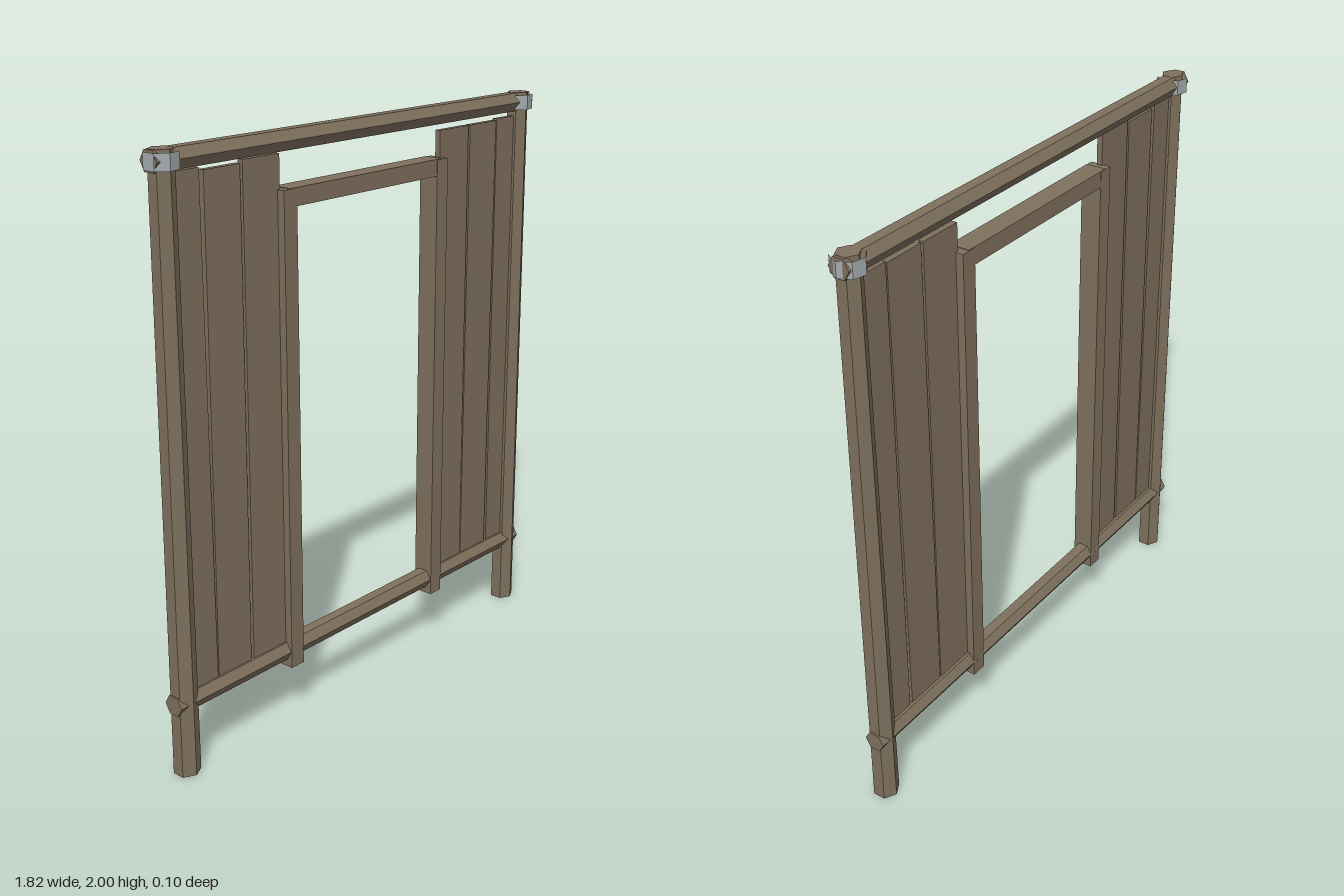
import * as THREE from 'three';

export function createModel() {
  const group = new THREE.Group();
  const wood = new THREE.MeshStandardMaterial({ color: 0x7f715d, flatShading: true });
  wood.name = 'weathered wood';
  const metal = new THREE.MeshStandardMaterial({ color: 0xa3aaad, flatShading: true });
  metal.name = 'pale binding';

  const add = (name, geometry, material, x, y, z = 0) => {
    const mesh = new THREE.Mesh(geometry, material);
    mesh.name = name;
    mesh.position.set(x, y, z);
    group.add(mesh);
    return mesh;
  };

  // Hexagonal corner posts, slightly tapered, with a binding round the top
  for (const [side, x] of [['right', -0.865], ['left', 0.855]]) {
    const post = new THREE.CylinderGeometry(0.038, 0.043, 2, 6);
    post.scale(1.07, 1, 1);
    add(side + 'Post', post, wood, x, 1);

    const band = new THREE.CylinderGeometry(0.053, 0.053, 0.052, 7, 1, true);
    band.rotateY(Math.PI / 2);
    add(side + 'Binding', band, metal, x, 1.966);
  }

  // Hexagonal cross rails with a ridge towards front and back
  const rail = (name, y, length) => {
    const g = new THREE.CylinderGeometry(0.037, 0.037, length, 6);
    g.rotateZ(Math.PI / 2);
    add(name, g, wood, -0.005, y, -0.002);
  };
  rail('topRail', 1.967, 1.81);
  rail('bottomRail', 0.253, 1.81);

  // Door frame
  const depth = 0.074;
  add('rightJamb', new THREE.BoxGeometry(0.058, 1.625, depth), wood, -0.381, 1.0075);
  add('leftJamb', new THREE.BoxGeometry(0.058, 1.625, depth), wood, 0.372, 1.0075);
  add('lintel', new THREE.BoxGeometry(0.75, 0.058, depth - 0.002), wood, -0.005, 1.793);

  // Slightly crooked wall boards: bottom left, bottom right, top right, top left, top height
  const boards = [
    [-0.87, -0.725, -0.732, -0.87, 1.93],
    [-0.721, -0.574, -0.567, -0.715, 1.92],
    [-0.562, -0.4, -0.4, -0.557, 1.93],
    [0.39, 0.553, 0.55, 0.39, 1.912],
    [0.557, 0.709, 0.712, 0.56, 1.912],
    [0.721, 0.86, 0.86, 0.717, 1.917],
  ];
  boards.forEach(([bl, br, tr, tl, top], i) => {
    const shape = new THREE.Shape([
      new THREE.Vector2(bl, 0.25),
      new THREE.Vector2(br, 0.25),
      new THREE.Vector2(tr, top),
      new THREE.Vector2(tl, top),
    ]);
    const g = new THREE.ExtrudeGeometry(shape, { depth: 0.02, bevelEnabled: false });
    add('wallBoard' + (i + 1), g, wood, 0, 0, -0.01);
  });

  return group;
}
